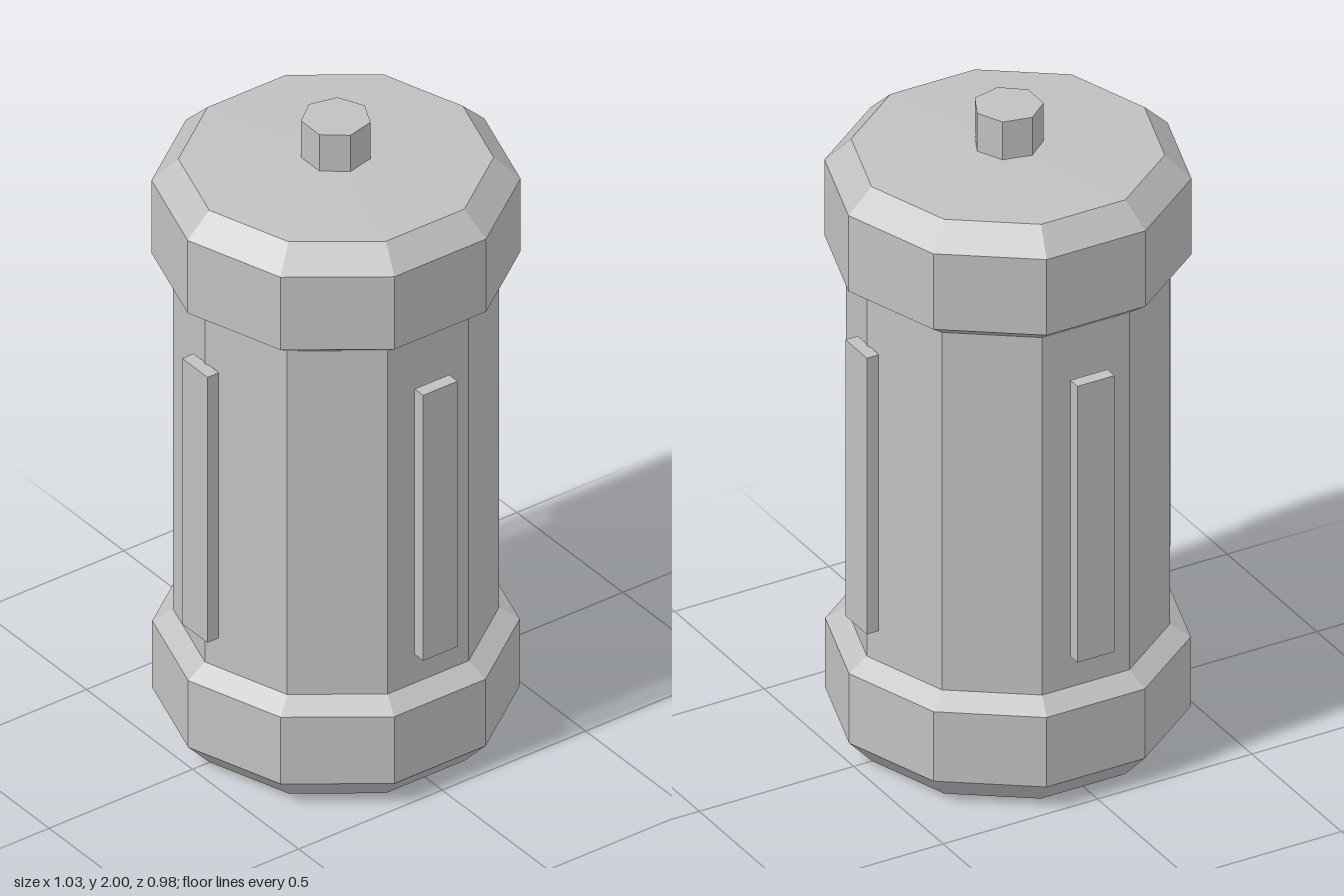
import * as THREE from 'three';

const metal = new THREE.MeshStandardMaterial({ color: 0xc0c0c0, flatShading: true });
metal.name = 'grey metal';

// Faceted solid of revolution with a corner on +x; profile runs bottom to top as [radius, y]
function turned(name, sides, profile) {
  const points = profile.map(([r, y]) => new THREE.Vector2(r, y));
  const mesh = new THREE.Mesh(new THREE.LatheGeometry(points, sides, Math.PI / 2), metal);
  mesh.name = name;
  return mesh;
}

export function createModel() {
  const group = new THREE.Group();
  group.name = 'canister';

  // Ten-sided bevelled base, barrel and lid
  group.add(turned('base', 10, [[0, 0], [0.44, 0], [0.515, 0.08], [0.515, 0.305], [0.457, 0.345], [0, 0.345]]));
  group.add(turned('body', 10, [[0.457, 0.34], [0.457, 1.51]]));
  group.add(turned('lid', 10, [[0, 1.505], [0.46, 1.505], [0.517, 1.545], [0.517, 1.79], [0.442, 1.862], [0, 1.882]]));

  // Seven-sided knob on the lid
  group.add(turned('knob', 7, [[0.1, 1.87], [0.1, 2], [0, 2]]));

  // Upright strips on the four sides
  const stripGeometry = new THREE.BoxGeometry(0.12, 0.895, 0.04);
  for (let i = 0; i < 4; i++) {
    const angle = (i * Math.PI) / 2;
    const strip = new THREE.Mesh(stripGeometry, metal);
    strip.name = 'sideStrip';
    strip.position.set(Math.sin(angle) * 0.472, 0.903, Math.cos(angle) * 0.472);
    strip.rotation.y = angle;
    group.add(strip);
  }
  return group;
}
